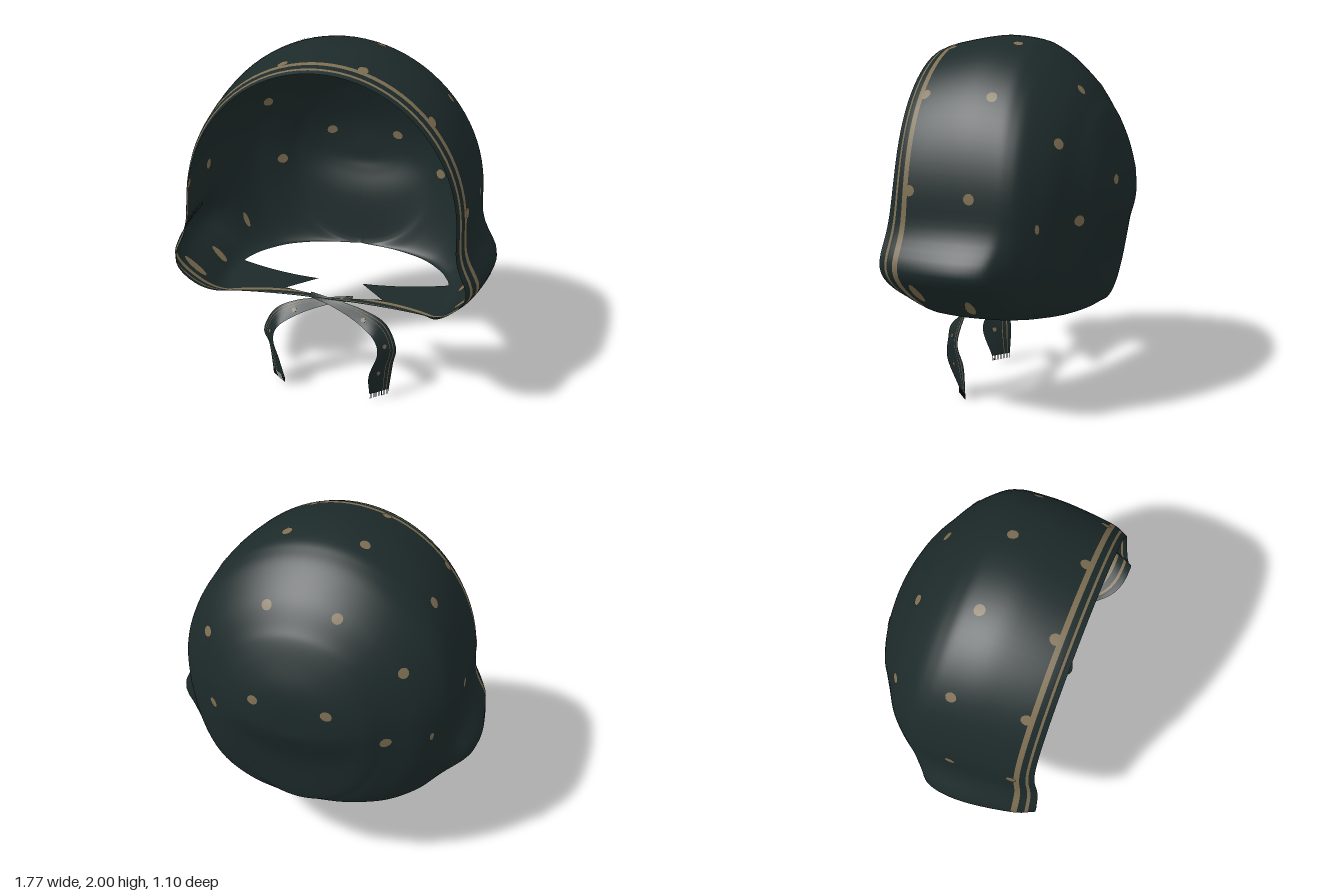
import * as THREE from 'three';

const { lerp, clamp } = THREE.MathUtils;
const V = (x, y, z) => new THREE.Vector3(x, y, z);

// Cross-sections from the front rim (row 0) to the back of the head.
// z, top height, half width | bottom height, bottom half width, cheek flare
const SECTIONS = [
  [0.49, 1.93, 0.715, 0.57, 0.51, 0.10],
  [0.40, 1.96, 0.75, 0.57, 0.58, 0.11],
  [0.15, 2.00, 0.77, 0.57, 0.62, 0.135],
  [-0.04, 1.98, 0.77, 0.57, 0.61, 0.12],
  [-0.13, 1.94, 0.765, 0.57, 0.58, 0.05],
  [-0.21, 1.88, 0.735, 0.57, 0.53, 0],
  [-0.32, 1.77, 0.64, 0.57, 0.41, 0],
  [-0.40, 1.66, 0.52, 0.57, 0.22, 0],
  [-0.44, 1.60, 0.46, 0.57, 0, 0],
  [-0.485, 1.50, 0.39, 0.86, 0, 0],
  [-0.53, 1.38, 0.26, 1.01, 0, 0],
  [-0.55, 1.28, 0.12, 1.08, 0, 0],
  [-0.552, 1.15, 0, 1.15, 0, 0],
];
const LAST = SECTIONS.length - 1;
const upper = new THREE.CatmullRomCurve3(SECTIONS.map(r => V(r[0], r[1], r[2])), false, 'catmullrom');
const lower = new THREE.CatmullRomCurve3(SECTIONS.map(r => V(r[3], r[4], r[5])), false, 'catmullrom');
const MID = 1.15;

// Point on the hood: v runs from rim to back, a from right hem (-1) over the top (0) to left hem (1).
function hoodPoint(v, a) {
  const { x: z, y: top, z: width } = upper.getPoint(v / LAST);
  const { x: bottom, y: hem, z: flare } = lower.getPoint(v / LAST);
  const t = Math.abs(a), s = Math.sign(a);
  let x, y;
  if (t <= 0.5) {
    x = width * Math.sin(t * Math.PI);
    y = MID + (top - MID) * Math.cos(t * Math.PI);
  } else {
    const b = (t - 0.5) * Math.PI;
    x = lerp(Math.max(0, hem), width, Math.cos(b));
    y = MID - (MID - Math.max(0.57, bottom)) * Math.sin(b);
  }
  x += Math.max(0, flare) * Math.exp(-0.5 * ((y - 0.83) / 0.1) ** 2);
  // the rim juts forward at the cheeks and curls back under the chin
  const under = clamp((0.8 - y) / 0.23, 0, 1) ** 3;
  const dz = 0.06 * Math.exp(-(((y - 0.85) / 0.3) ** 2)) - 0.2 * under;
  return V(s * x, y, z + dz * clamp(1 - v / 2, 0, 1));
}

function hoodNormal(v, a) {
  const p = hoodPoint(v, a);
  return hoodPoint(v, a + 0.005).sub(p).cross(hoodPoint(v + 0.01, a).sub(p)).normalize();
}

// Lofted sheet over two parameter lists; pick(row) chooses the material of each strip.
function sheet(name, fn, vs, us, pick, materials) {
  const pos = [], index = [], geo = new THREE.BufferGeometry();
  for (const v of vs) for (const u of us) pos.push(...fn(v, u).toArray());
  const n = us.length;
  for (let i = 0; i < vs.length - 1; i++) {
    const start = index.length;
    for (let j = 0; j < n - 1; j++) {
      const p = i * n + j;
      index.push(p, p + 1, p + n, p + 1, p + n + 1, p + n);
    }
    geo.addGroup(start, index.length - start, pick((vs[i] + vs[i + 1]) / 2));
  }
  geo.setAttribute('position', new THREE.Float32BufferAttribute(pos, 3));
  geo.setIndex(index);
  geo.computeVertexNormals();
  const mesh = new THREE.Mesh(geo, materials);
  mesh.name = name;
  return mesh;
}

const range = (a, b, n) => Array.from({ length: n + 1 }, (_, i) => lerp(a, b, i / n));
const isIn = bands => v => (bands.some(([a, b]) => v > a && v < b) ? 1 : 0);
const withBands = (list, bands) => [...new Set([...list, ...bands.flat()])].sort((a, b) => a - b);

export function createModel() {
  const cloth = new THREE.MeshStandardMaterial({ color: 0x1d2a2a, side: THREE.DoubleSide });
  cloth.name = 'dark green cloth';
  const tan = new THREE.MeshStandardMaterial({ color: 0x7d6e52, side: THREE.DoubleSide });
  tan.name = 'tan print';
  const mats = [cloth, tan];
  const model = new THREE.Group();
  model.name = 'headscarf';

  // Hood with printed border stripes
  const borders = [[0.37, 0.55], [0.85, 1.03]];
  const rows = withBands(range(0, LAST, 72), borders);
  model.add(sheet('hood', hoodPoint, rows, range(-1, 1, 88), isIn(borders), mats));

  // Flaps folded under the chin: a thin strand to the knot, a notch, then a pointed corner
  const flapEnd = v => {
    if (v < 0.6) return [0, 0.27 - 0.03 * v];
    if (v < 1.2) return [lerp(0, 0.28, (v - 0.6) / 0.6), lerp(0.252, 0.2, (v - 0.6) / 0.6)];
    return [lerp(0.28, 0.13, (v - 1.2) / 1.8), lerp(0.2, 0.05, (v - 1.2) / 1.8)];
  };
  for (const s of [-1, 1]) {
    const flap = (v, u) => {
      const p = hoodPoint(v, s), [x, z] = flapEnd(v);
      return V(lerp(p.x, s * x, u), p.y - 0.008 * u, lerp(p.z, z, 1 - (1 - u) ** 2));
    };
    model.add(sheet(s > 0 ? 'leftChinFlap' : 'rightChinFlap', flap,
      withBands(range(0, 3, 15), borders), range(0, 1, 16), isIn(borders), mats));
  }

  // Printed spots following the cloth. Each: x, y, z, radius along the border, radius along the arch, faces
  const OUT = 0.003, BOTH = [OUT, -OUT];
  const spotList = [
    [0.2, 1.96, 0], [0.6, 1.71, 0], [0.75, 1.22, 0.05], [0.2, 1.74, -0.36],
    [0.54, 1.48, -0.34], [0.2, 1.26, -0.53], [0.48, 1.09, -0.42],
    [0.2, 1.93, 0.385], [0.56, 1.71, 0.385], [0.74, 1.24, 0.39],
    [0.68, 1.08, -0.27, 0.012, 0.025, [OUT]],
    [0.62, 0.76, -0.2, 0.016, 0.05, [-OUT]],
    [0.73, 0.64, 0.08, 0.027, 0.06],
    [0.77, 0.68, 0.36, 0.03, 0.085],
  ];
  const samples = [];
  for (const v of range(0, LAST - 0.2, 130)) for (const a of range(0.01, 0.98, 100)) samples.push([v, a, hoodPoint(v, a)]);
  const spots = new THREE.Group();
  spots.name = 'spots';
  for (const [x, y, z, rv = 0.029, ra = 0.029, faces = BOTH] of spotList) {
    const target = V(x, y, z);
    let best = samples[0];
    for (const q of samples) if (q[2].distanceToSquared(target) < best[2].distanceToSquared(target)) best = q;
    const [v0, a0, p] = best;
    const perV = hoodPoint(v0 + 0.02, a0).distanceTo(p) / 0.02;
    const perA = hoodPoint(v0, a0 + 0.005).distanceTo(p) / 0.005;
    for (const s of [-1, 1]) for (const offset of faces) {
      const disc = (r, angle) => {
        const v = v0 + (r * rv * Math.sin(angle)) / perV;
        const a = s * Math.min(0.99, a0 + (r * ra * Math.cos(angle)) / perA);
        return hoodPoint(v, a).addScaledVector(hoodNormal(v, a), offset);
      };
      spots.add(sheet('spot', disc, [0, 0.5, 1], range(0, Math.PI * 2, 12), () => 1, mats));
    }
  }
  model.add(spots);

  // Crossed tie ends: ribbons between an outer and an inner edge curve
  const outer = [[-0.12, 0.575, 0.22], [0.05, 0.56, 0.255], [0.2, 0.53, 0.27], [0.32, 0.465, 0.285],
    [0.385, 0.33, 0.3], [0.365, 0.2, 0.275], [0.345, 0.03, 0.275]];
  const inner = [[-0.12, 0.565, 0.26], [0.02, 0.53, 0.28], [0.18, 0.465, 0.32], [0.28, 0.405, 0.385],
    [0.3, 0.33, 0.395], [0.26, 0.2, 0.42], [0.25, 0.03, 0.355]];
  const tieBands = [[0.13, 0.165], [0.3, 0.325]];
  for (const s of [-1, 1]) {
    const lift = s > 0 ? 0 : 0.025, side = s > 0 ? 'left' : 'right';
    const edge = pts => new THREE.CatmullRomCurve3(pts.map(([x, y, z], i) =>
      V(s * x, y + (i > 4 ? lift : 0), z + (s > 0 && i < 3 ? 0.012 : 0))));
    const eo = edge(outer), ei = edge(inner);
    const ribbon = (w, t) => eo.getPoint(t).lerp(ei.getPoint(t), w);
    const tie = new THREE.Group();
    tie.name = side + 'Tie';
    tie.add(sheet(side + 'Ribbon', ribbon, withBands(range(0, 1, 6), tieBands), range(0, 1, 40), isIn(tieBands), mats));
    // Fringe threads at the cut end
    for (const w of range(0.04, 0.96, 11)) {
      const p = ribbon(w, 1);
      const thread = new THREE.Mesh(new THREE.BoxGeometry(0.003, 0.03, 0.003), cloth);
      thread.name = 'fringe';
      thread.position.set(p.x, p.y - 0.015, p.z);
      tie.add(thread);
    }
    // Small spots along the ribbon
    for (const t of [0.35, 0.62, 0.85]) {
      const p = ribbon(0.6, t);
      const n = ribbon(0.7, t).sub(p).cross(ribbon(0.6, t + 0.02).sub(p)).normalize();
      const spot = new THREE.Mesh(new THREE.CylinderGeometry(0.014, 0.014, 0.008, 8), tan);
      spot.name = 'tieSpot';
      spot.position.copy(p);
      spot.quaternion.setFromUnitVectors(V(0, 1, 0), n);
      tie.add(spot);
    }
    model.add(tie);
  }
  return model;
}
